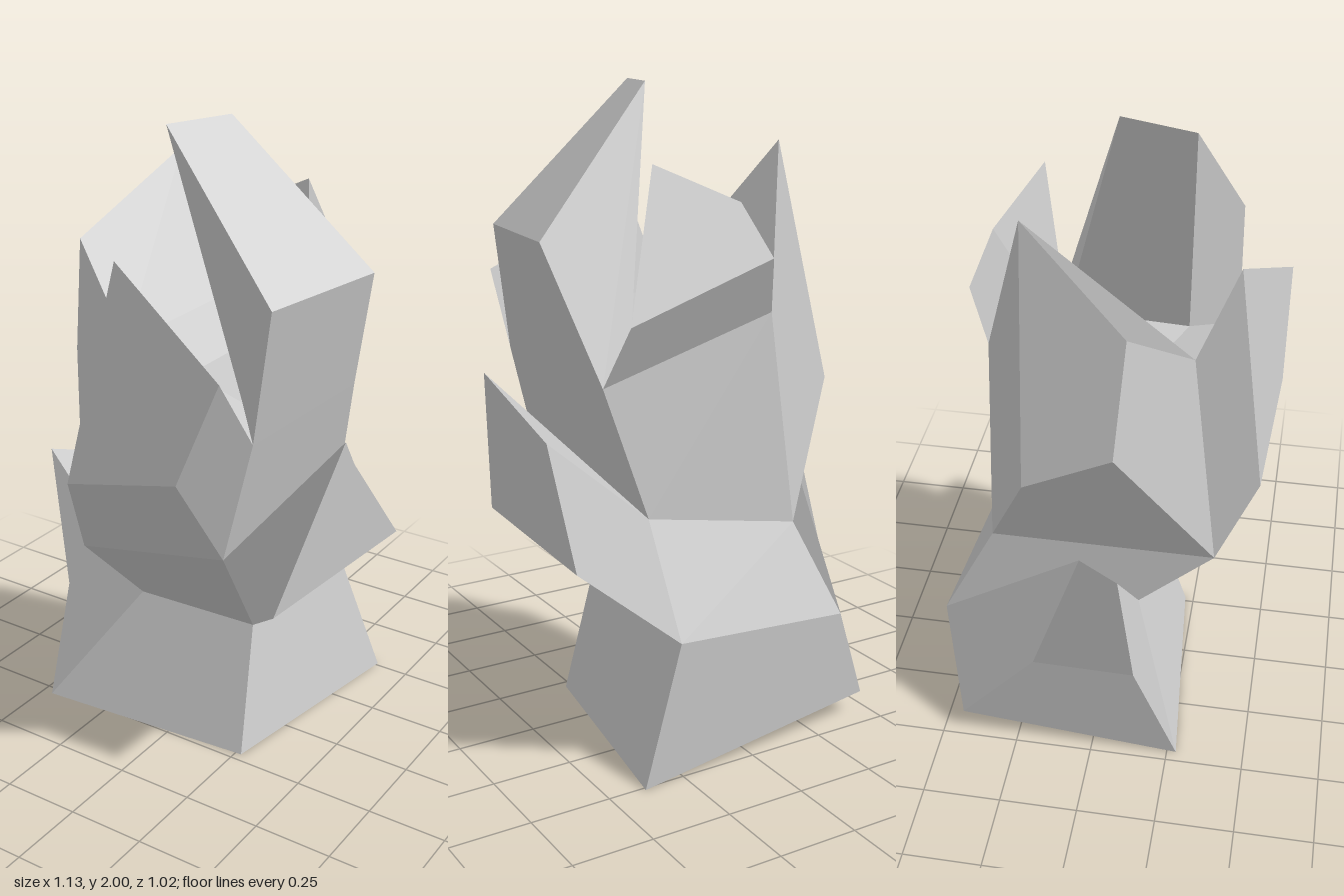
import * as THREE from 'three';

const material = new THREE.MeshStandardMaterial({ color: 0xcccccc });

// Cross-sections of the twisted trunk, from the ground up.
// Corner order: front right, front left, back left, back right (model's own sides).
const rings = [
  [[-0.463, 0, 0.28], [0.27, 0, 0.22], [0.385, 0, -0.512], [-0.465, 0.07, -0.435]],
  [[-0.19, 0.405, 0.11], [0.235, 0.41, 0.10], [0.237, 0.41, -0.47], [-0.315, 0.40, -0.51]],
  [[-0.235, 0.67, 0.355], [0.285, 0.77, 0.355], [0.283, 0.77, -0.36], [-0.235, 0.67, -0.36]],
  [[-0.125, 1.34, 0.26], [0.38, 1.16, 0.35], [0.375, 1.15, -0.26], [-0.14, 1.34, -0.36]],
  [[0.025, 1.235, 0.135], [0.25, 1.21, 0.20], [0.25, 1.23, -0.20], [0.025, 1.24, -0.14]],
];

// Shards grow out of one side of a trunk segment; tip lists the outer four corners.
// flip names walls folded along the other diagonal.
const shards = [
  { name: 'lowerRightShard', level: 0, side: 3, flip: [1],
    tip: [[-0.505, 0.39, -0.18], [-0.483, 0.36, 0.138], [-0.567, 0.83, 0.10], [-0.455, 0.80, -0.035]] },
  { name: 'lowerLeftShard', level: 1, side: 1, flip: [],
    tip: [[0.46, 0.63, 0.355], [0.51, 0.635, -0.34], [0.475, 0.96, -0.09], [0.565, 1.14, 0.145]] },
  { name: 'frontShard', level: 2, side: 0, flip: [],
    tip: [[-0.19, 0.945, 0.48], [0.225, 1.055, 0.51], [0.37, 1.39, 0.51], [-0.07, 1.63, 0.38]] },
  { name: 'upperRightShard', level: 2, side: 3, flip: [],
    tip: [[-0.465, 1.07, -0.20], [-0.465, 1.20, 0.07], [-0.413, 1.58, 0.10], [-0.25, 1.83, -0.225]] },
  { name: 'tallShard', level: 3, side: 1, flip: [],
    tip: [[0.43, 1.56, 0.343], [0.498, 1.565, -0.12], [0.08, 2, 0], [0.01, 2, 0.23]] },
  { name: 'backShard', level: 3, side: 2, flip: [],
    tip: [[0.345, 1.345, -0.373], [-0.105, 1.51, -0.417], [-0.03, 1.67, -0.355], [0.20, 1.78, -0.245]] },
];

// Corners of the wall between two four-cornered sections
function wall(from, to, i) {
  const j = (i + 1) % 4;
  return [from[i], from[j], to[j], to[i]];
}

// Faceted mesh: each four-cornered facet is two triangles sharing one normal
function facetedMesh(name, facets) {
  const positions = [];
  const normals = [];
  for (const { corners, flip } of facets) {
    const [a, b, c, d] = corners.map((p) => new THREE.Vector3(...p));
    const normal = c.clone().sub(a).cross(d.clone().sub(b)).normalize();
    for (const p of flip ? [a, b, d, b, c, d] : [a, b, c, a, c, d]) {
      positions.push(...p.toArray());
      normals.push(...normal.toArray());
    }
  }
  const geometry = new THREE.BufferGeometry();
  geometry.setAttribute('position', new THREE.Float32BufferAttribute(positions, 3));
  geometry.setAttribute('normal', new THREE.Float32BufferAttribute(normals, 3));
  const mesh = new THREE.Mesh(geometry, material);
  mesh.name = name;
  return mesh;
}

export function createModel() {
  const group = new THREE.Group();
  group.name = 'shardedSpire';

  // Trunk: walls left free by the shards, plus the underside and the top
  const trunk = [
    { corners: [...rings[0]].reverse(), flip: true },
    { corners: rings[4], flip: false },
  ];
  for (let level = 0; level < 4; level++) {
    for (let side = 0; side < 4; side++) {
      if (shards.some((s) => s.level === level && s.side === side)) continue;
      // The back of the foot folds inward
      trunk.push({ corners: wall(rings[level], rings[level + 1], side), flip: level === 0 && side === 2 });
    }
  }
  group.add(facetedMesh('trunk', trunk));

  // Shards: four walls and an outer end
  for (const { name, level, side, tip, flip } of shards) {
    const root = wall(rings[level], rings[level + 1], side);
    const facets = [{ corners: tip, flip: false }];
    for (let i = 0; i < 4; i++) facets.push({ corners: wall(root, tip, i), flip: flip.includes(i) });
    group.add(facetedMesh(name, facets));
  }
  return group;
}
